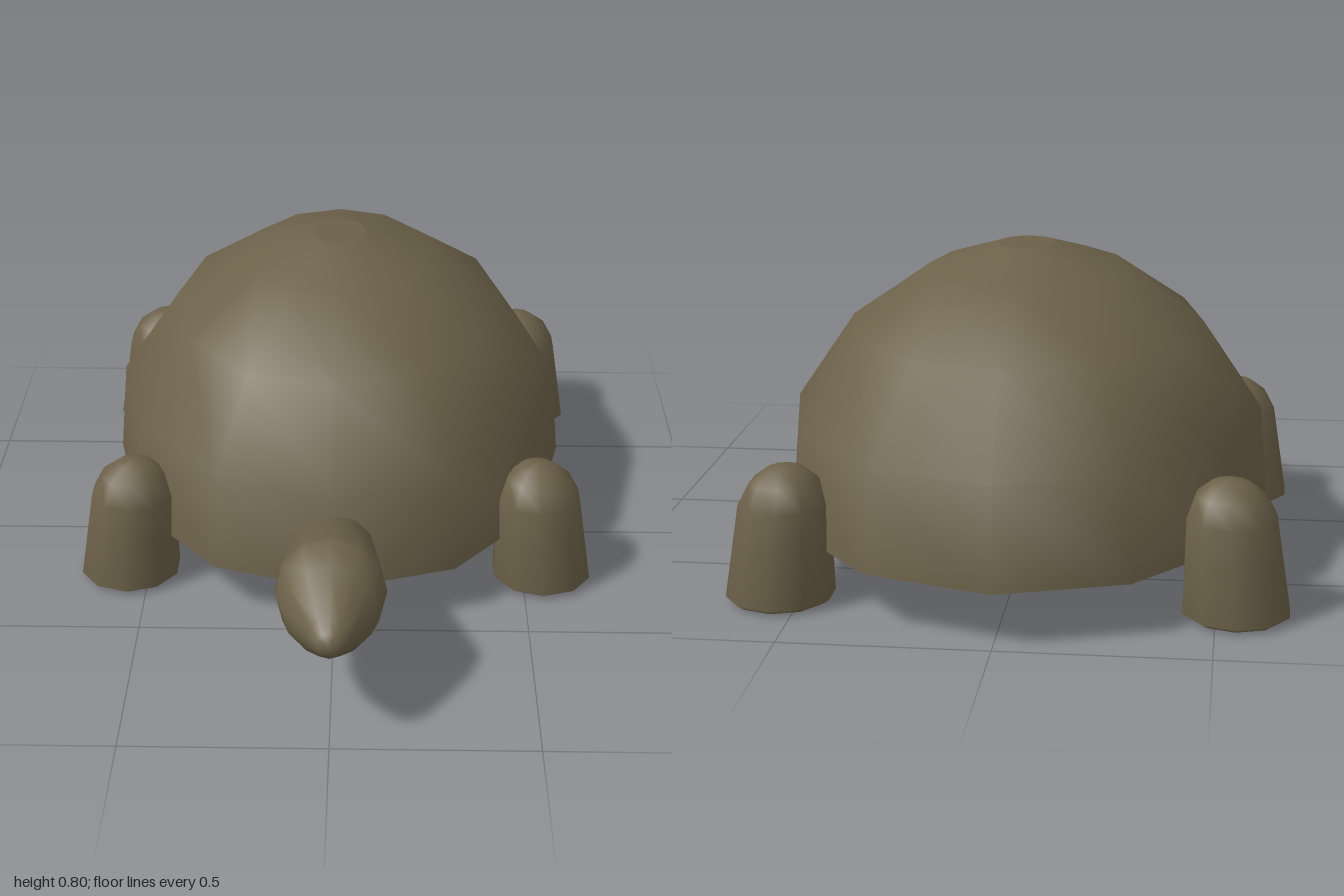
import * as THREE from 'three';
import { mergeVertices } from 'three/addons/utils/BufferGeometryUtils.js';

const skin = new THREE.MeshStandardMaterial({ color: 0x6c6149, side: THREE.DoubleSide });
skin.name = 'olive brown';

// Lathe body from [radius, height] pairs, with its vertices moved by a rule and smoothed
function bentLathe(profile, sides, rule) {
  const geo = new THREE.LatheGeometry(profile.map(([r, y]) => new THREE.Vector2(r, y)), sides);
  geo.deleteAttribute('uv');
  geo.deleteAttribute('normal');
  const p = geo.attributes.position;
  const v = new THREE.Vector3();
  for (let i = 0; i < p.count; i++) {
    rule(v.fromBufferAttribute(p, i));
    p.setXYZ(i, v.x, v.y, v.z);
  }
  const merged = mergeVertices(geo, 1e-4);
  merged.computeVertexNormals();
  return merged;
}

function addMesh(parent, name, geo) {
  const mesh = new THREE.Mesh(geo, skin);
  mesh.name = name;
  parent.add(mesh);
  return mesh;
}

export function createModel() {
  const model = new THREE.Group();
  model.name = 'turtle';

  // Hollow oval shell, open underneath
  const dome = [[1, 0.135], [0.965, 0.383], [0.724, 0.602], [0.4, 0.74], [0.118, 0.797]];
  const shellGeo = new THREE.LatheGeometry(dome.map(([r, y]) => new THREE.Vector2(r, y)), 12);
  shellGeo.scale(0.62, 1, 0.76);
  addMesh(model, 'shell', shellGeo).position.z = -0.24;

  // Flat disc closing the top of the shell
  const capGeo = new THREE.CircleGeometry(0.118, 12);
  capGeo.rotateX(-Math.PI / 2).scale(0.62, 1, 0.76);
  addMesh(model, 'shellCap', capGeo).position.set(0, 0.797, -0.24);

  // Round-topped legs leaning in towards the shell
  const legProfile = [[0, 0], [0.115, 0.002], [0.133, 0.014], [0.12, 0.15], [0.111, 0.245],
    [0.085, 0.3], [0.045, 0.331], [0, 0.339]];
  for (const side of [1, -1]) {
    const legGeo = bentLathe(legProfile, 10, (v) => { v.x -= side * 0.065 * v.y; });
    for (const [end, z] of [['front', 0.22], ['back', -0.72]]) {
      const name = end + (side > 0 ? 'Left' : 'Right') + 'Leg';
      addMesh(model, name, legGeo).position.set(side * 0.55, 0, z);
    }
  }

  // Neck and head in one piece, rising forwards, with the snout bent down
  const headProfile = [[0, -0.1], [0.045, -0.088], [0.085, -0.052], [0.105, 0], [0.12, 0.17],
    [0.134, 0.32], [0.132, 0.345], [0.112, 0.405], [0.05, 0.5], [0.028, 0.525], [0, 0.532]];
  const headGeo = bentLathe(headProfile, 12, (v) => {
    if (v.y > 0.34) v.z += 0.36 * (v.y - 0.34);
  });
  headGeo.rotateX(THREE.MathUtils.degToRad(75));
  addMesh(model, 'headAndNeck', headGeo).position.set(0, 0.215, 0.47);

  return model;
}
